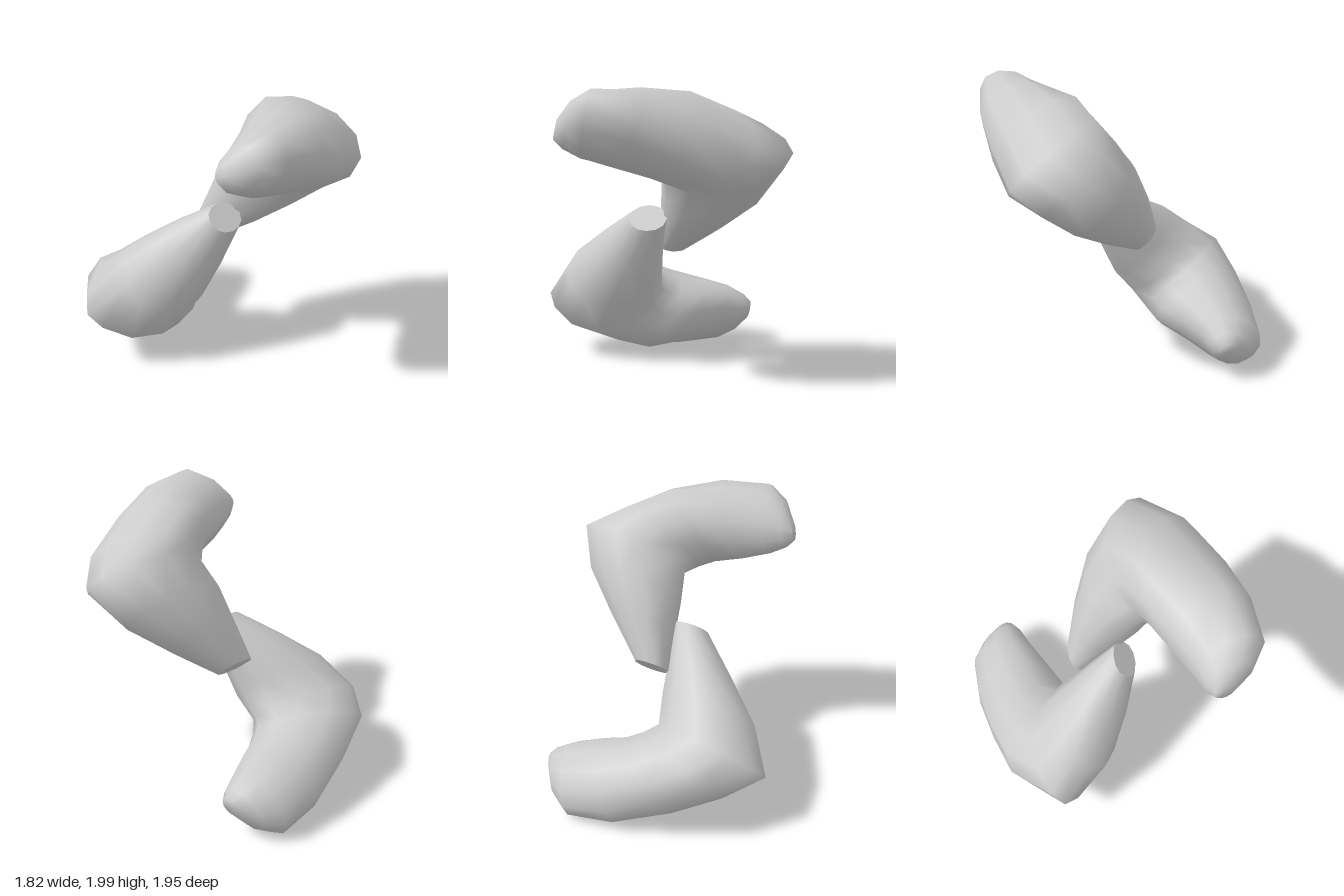
import * as THREE from 'three';

const SIDES = 12;
const R = Math.SQRT1_2;

// Sections of one limb in its tilted plane:
// inner edge (x, u), outer edge (x, u), lowest and highest thickness n,
// drop of the outer edge in n, sharpness of the edges.
const SECTIONS = [
  [-0.06, -0.18, 0.20, -0.18, -0.07, 0.15, 0, 0.9],
  [-0.01, 0.08, 0.45, 0.06, -0.12, 0.31, 0, 0.85],
  [0.02, 0.33, 0.72, 0.33, -0.15, 0.44, 0, 0.9],
  [0.04, 0.53, 0.91, 0.64, -0.17, 0.51, 0, 1.4],
  [0.00, 0.61, 0.70, 0.88, -0.20, 0.49, 0.12, 1],
  [-0.08, 0.67, 0.37, 1.10, -0.21, 0.46, 0.08, 1],
  [-0.25, 0.74, 0.04, 1.27, -0.20, 0.32, 0.03, 1],
  [-0.42, 0.83, -0.29, 1.33, -0.18, 0.20, 0, 1],
  [-0.53, 0.90, -0.43, 1.24, -0.12, 0.14, 0, 0.95],
  [-0.58, 0.96, -0.54, 1.09, -0.05, 0.08, 0, 0.9],
];

// Plane coordinates to model space; sign -1 is the point-mirrored limb
const place = (x, u, n, sign) => [sign * x, 1 + sign * (u + n) * R, sign * (u - n) * R];

// Point j on the rounded outline of a section
function ringPoint([ix, iu, ox, ou, lo, hi, drop, sharp], j, sign) {
  const a = (j / SIDES) * Math.PI * 2;
  const c = Math.cos(a), sin = Math.sin(a);
  const s = Math.sign(sin) * Math.pow(Math.abs(sin), sharp);
  return place(
    (ix + ox) / 2 + (c * (ox - ix)) / 2,
    (iu + ou) / 2 + (c * (ou - iu)) / 2,
    (lo + hi) / 2 + (s * (hi - lo)) / 2 - drop * Math.max(0, c),
    sign
  );
}

const centre = ([ix, iu, ox, ou, lo, hi], sign) =>
  place((ix + ox) / 2, (iu + ou) / 2, (lo + hi) / 2, sign);

function toGeometry(points, faces, sign) {
  const geometry = new THREE.BufferGeometry();
  geometry.setAttribute('position', new THREE.Float32BufferAttribute(points.flat(), 3));
  geometry.setIndex(faces.flatMap(([a, b, c]) => (sign > 0 ? [a, b, c] : [a, c, b])));
  geometry.computeVertexNormals();
  return geometry;
}

// Bent body, lofted through the sections and closed at the rounded tip
function bodyGeometry(sign) {
  const points = [], faces = [];
  SECTIONS.forEach((section, i) => {
    for (let j = 0; j < SIDES; j++) {
      points.push(ringPoint(section, j, sign));
      if (i === 0) continue;
      const k = (j + 1) % SIDES;
      const a = (i - 1) * SIDES + j, b = (i - 1) * SIDES + k;
      const c = i * SIDES + k, d = i * SIDES + j;
      faces.push([a, b, c], [a, c, d]);
    }
  });
  const tip = points.length, last = tip - SIDES;
  points.push(centre(SECTIONS[SECTIONS.length - 1], sign));
  for (let j = 0; j < SIDES; j++) faces.push([tip, last + j, last + ((j + 1) % SIDES)]);
  return toGeometry(points, faces, sign);
}

// Flat cut end, kept separate so its rim stays sharp
function capGeometry(sign) {
  const points = [centre(SECTIONS[0], sign)], faces = [];
  for (let j = 0; j < SIDES; j++) {
    points.push(ringPoint(SECTIONS[0], j, sign));
    faces.push([0, 1 + ((j + 1) % SIDES), 1 + j]);
  }
  return toGeometry(points, faces, sign);
}

export function createModel() {
  const material = new THREE.MeshStandardMaterial({ color: 0xcccccc });
  const model = new THREE.Group();
  model.name = 'bentLimbPair';
  for (const [name, sign] of [['upperLimb', 1], ['lowerLimb', -1]]) {
    const limb = new THREE.Group();
    limb.name = name;
    const body = new THREE.Mesh(bodyGeometry(sign), material);
    body.name = name + 'Body';
    const cap = new THREE.Mesh(capGeometry(sign), material);
    cap.name = name + 'CutEnd';
    limb.add(body, cap);
    model.add(limb);
  }
  return model;
}
